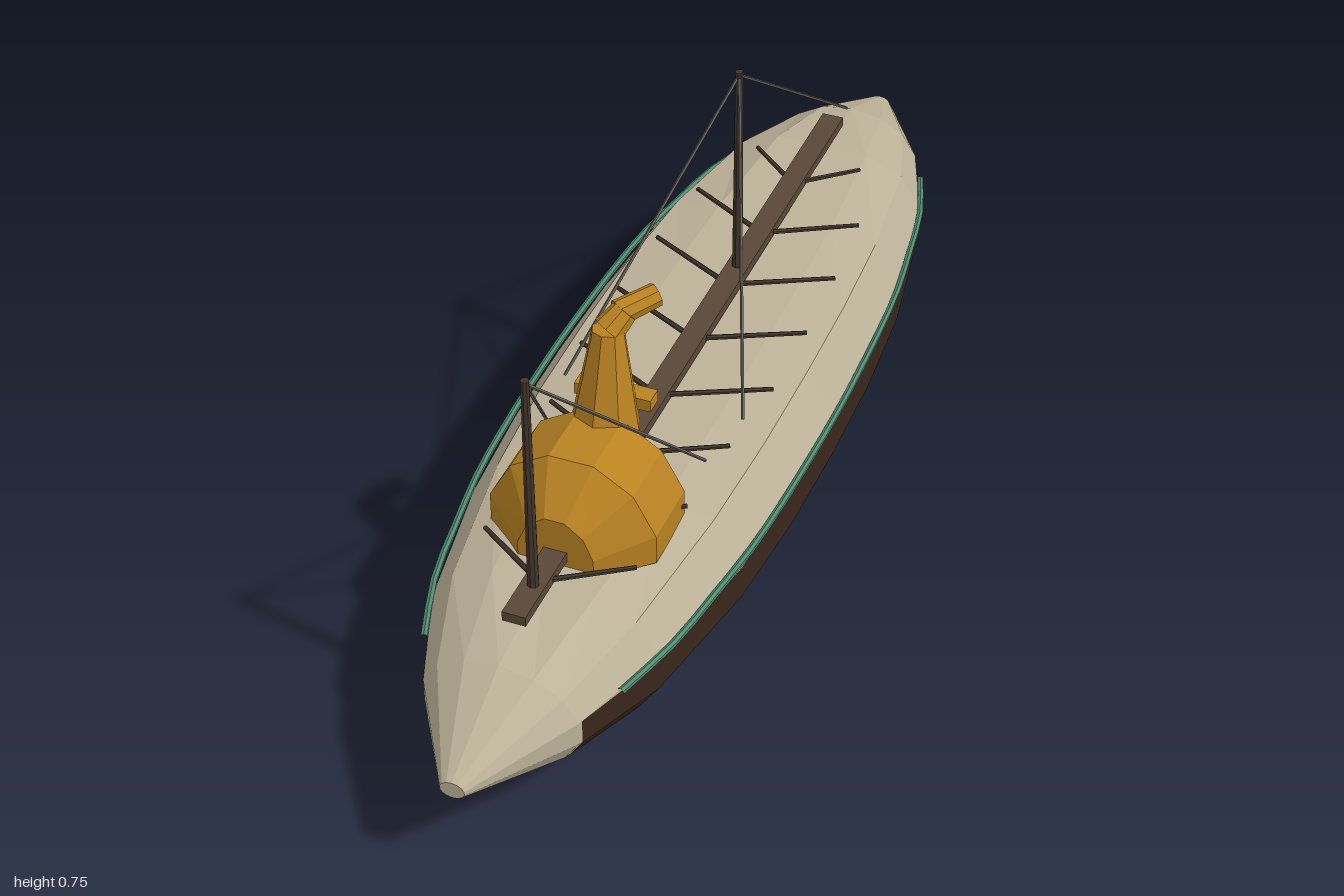
import * as THREE from 'three';

const mat = (color, side = THREE.FrontSide) =>
  new THREE.MeshStandardMaterial({ color, flatShading: true, side });

const AXIS_Y = 0.19;
// Hull half-widths by distance from midships
const STATIONS = [[0, 0.26], [0.2, 0.257], [0.4, 0.243], [0.65, 0.2], [0.82, 0.135], [1, 0.021]];

function hullRadius(z) {
  const d = Math.abs(z);
  for (let i = 1; i < STATIONS.length; i++) {
    const [d0, r0] = STATIONS[i - 1], [d1, r1] = STATIONS[i];
    if (d <= d1) return r0 + (r1 - r0) * (d - d0) / (d1 - d0);
  }
  return STATIONS[STATIONS.length - 1][1];
}

// One hull corner; k counts fourteenths of a turn from the keel
function hullPoint(z, k, scale = 1) {
  const r = hullRadius(z) * scale;
  const a = k * Math.PI / 7 - Math.PI / 2;
  const deckLimit = 0.13 * Math.pow(r / 0.26, 0.3);
  return [r * Math.cos(a), AXIS_Y + Math.min(r * 0.731 * Math.sin(a), deckLimit), z];
}

// Skin between cross-sections that run anticlockwise, ordered by rising z
function loft(rings, closed) {
  const n = rings[0].length, index = [];
  for (let i = 0; i < rings.length - 1; i++) {
    for (let j = 0; j < (closed ? n : n - 1); j++) {
      const a = i * n + j, b = i * n + (j + 1) % n;
      index.push(a, b, a + n, b, b + n, a + n);
    }
  }
  if (closed) {
    const last = (rings.length - 1) * n;
    for (let j = 1; j < n - 1; j++) {
      index.push(0, j + 1, j);
      index.push(last, last + j, last + j + 1);
    }
  }
  const g = new THREE.BufferGeometry();
  g.setAttribute('position', new THREE.Float32BufferAttribute(rings.flat(2), 3));
  g.setIndex(index);
  g.computeVertexNormals();
  return g;
}

export function createModel() {
  const model = new THREE.Group();
  model.name = 'airship';
  const cream = mat(0xbdb299), dark = mat(0x38261b, THREE.DoubleSide), ochre = mat(0xb98222);
  const timber = mat(0x5a4838), mastWood = mat(0x43362b), wire = mat(0x66605a), green = mat(0x4f8a70);

  const add = (name, geometry, material, parent = model) => {
    const mesh = new THREE.Mesh(geometry, material);
    mesh.name = name;
    parent.add(mesh);
    return mesh;
  };
  // Round bar from point a to point b
  const bar = (name, a, b, ra, rb, sides, material, parent = model) => {
    const start = new THREE.Vector3(...a), end = new THREE.Vector3(...b);
    const dir = end.clone().sub(start);
    const mesh = add(name, new THREE.CylinderGeometry(rb, ra, dir.length(), sides), material, parent);
    mesh.position.copy(start).add(end).multiplyScalar(0.5);
    mesh.quaternion.setFromUnitVectors(new THREE.Vector3(0, 1, 0), dir.normalize());
    return mesh;
  };
  const box = (name, w, h, d, x, y, z, material, parent) =>
    add(name, new THREE.BoxGeometry(w, h, d), material, parent).position.set(x, y, z);

  // Hull with flattened deck
  const hullZ = [-1, -0.82, -0.65, -0.4, -0.2, 0, 0.2, 0.4, 0.65, 0.82, 1];
  add('hull', loft(hullZ.map(z => Array.from({ length: 14 }, (_, k) => hullPoint(z, k))), true), cream);

  // Dark plating around the lower hull, level along its upper edge
  const platingZ = [-0.74, -0.65, -0.4, -0.2, 0, 0.2, 0.4, 0.65, 0.815];
  add('lowerPlating', loft(platingZ.map(z => {
    const ring = [];
    for (let k = -4; k <= 4; k++) {
      const p = hullPoint(z, k, 1.006);
      if (Math.abs(k) === 4) p[1] = 0.213;
      ring.push(p);
    }
    return ring;
  }), false), dark);

  // Side rails
  for (const s of [1, -1]) {
    const points = [];
    for (let i = -6; i <= 6; i++) {
      const z = i * 0.74 / 6;
      const x = hullRadius(z) * 0.975 + 0.006;
      points.push(new THREE.Vector3(s * x, 0.218 + (x - 0.16) * 0.2, z));
    }
    add(s > 0 ? 'leftRail' : 'rightRail',
      new THREE.TubeGeometry(new THREE.CatmullRomCurve3(points), 24, 0.006, 6), green);
  }

  // Deck beam with swept ribs
  box('deckBeam', 0.04, 0.018, 1.47, 0, 0.332, 0.025, timber);
  const ribs = new THREE.Group();
  ribs.name = 'deckRibs';
  model.add(ribs);
  for (let i = 0; i < 8; i++) {
    const z = -0.49 + i * 0.165;
    const reach = [0.1, 0.155, 0.168, 0.175, 0.175, 0.16, 0.15, 0.13][i];
    for (const s of [1, -1])
      bar('rib', [0, 0.33, z], [s * reach, 0.33, z - 0.085], 0.005, 0.004, 6, mastWood, ribs);
  }

  // Masts and their stays
  const foreTop = [0, 0.738, 0.685], mainTop = [0, 0.738, -0.205];
  bar('foreMast', [0, 0.32, 0.685], [0, 0.745, 0.685], 0.01, 0.007, 8, mastWood);
  bar('mainMast', [0, 0.315, -0.205], [0, 0.745, -0.205], 0.01, 0.007, 8, mastWood);
  const stay = (a, b) => bar('stay', a, b, 0.003, 0.003, 5, wire);
  for (const s of [1, -1]) {
    stay(foreTop, [s * 0.14, 0.34, 0.31]);
    stay(mainTop, [s * 0.16, 0.34, 0.19]);
  }
  stay(mainTop, [0, 0.308, -0.79]);

  // Engine house: chamfered drum lying along the ship
  const house = new THREE.Group();
  house.name = 'engineHouse';
  model.add(house);
  const drum = [[0.34, 0.067, 0.088], [0.41, 0.148, 0.158], [0.53, 0.148, 0.158], [0.6, 0.067, 0.088]];
  add('drum', loft(drum.map(([z, rx, ry]) => {
    const ring = [[rx * 0.966, 0.302, z]];
    for (let k = 0; k < 6; k++) {
      const a = (15 + 30 * k) * Math.PI / 180;
      ring.push([rx * Math.cos(a), 0.315 + ry * Math.sin(a), z]);
    }
    ring.push([-rx * 0.966, 0.302, z]);
    return ring;
  }), true), ochre, house);
  box('rearStep', 0.132, 0.022, 0.032, 0, 0.469, 0.346, ochre, house);

  // Tapered funnel bent back towards the left
  bar('funnel', [0, 0.43, 0.392], [0, 0.615, 0.372], 0.06, 0.027, 8, ochre, house);
  bar('funnelElbow', [0, 0.612, 0.372], [0.018, 0.638, 0.347], 0.027, 0.022, 8, ochre, house);
  bar('funnelMouth', [0.008, 0.634, 0.352], [0.052, 0.645, 0.298], 0.022, 0.02, 8, ochre, house);

  return model;
}
